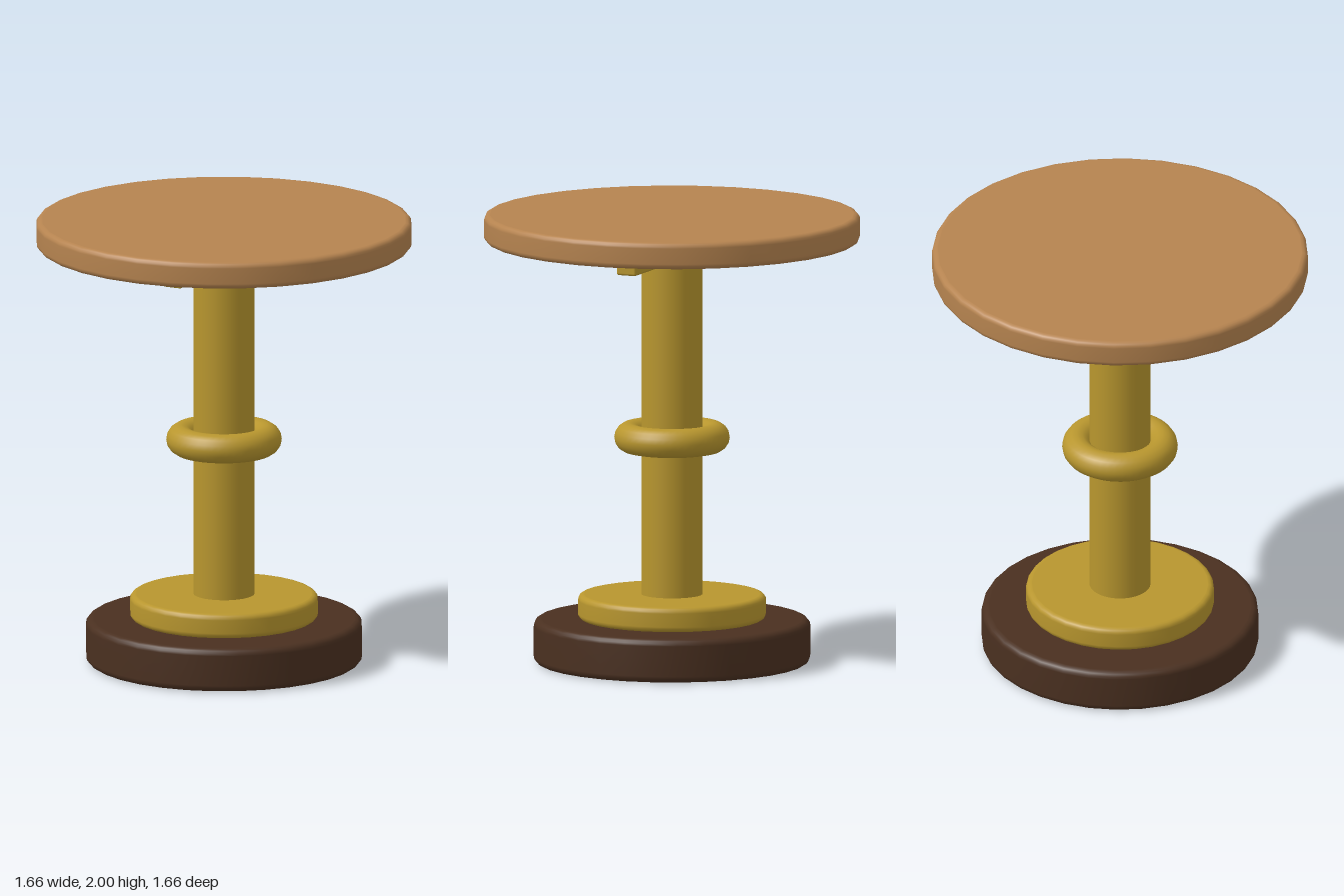
import * as THREE from 'three';
import { RoundedBoxGeometry } from 'three/addons/geometries/RoundedBoxGeometry.js';

const material = (name, color) => {
  const m = new THREE.MeshStandardMaterial({ color });
  m.name = name;
  return m;
};

// Disc with rounded rims, turned from a profile running bottom to top
function roundedDisc(radius, y0, y1, bevel) {
  const steps = 4, flat = 0.002;
  const points = [new THREE.Vector2(0, y0), new THREE.Vector2(radius - bevel - flat, y0)];
  const arc = (cy, start) => {
    for (let i = 0; i <= steps; i++) {
      const a = start + (i / steps) * Math.PI / 2;
      points.push(new THREE.Vector2(radius - bevel + bevel * Math.cos(a), cy + bevel * Math.sin(a)));
    }
  };
  arc(y0 + bevel, -Math.PI / 2);
  arc(y1 - bevel, 0);
  points.push(new THREE.Vector2(radius - bevel - flat, y1), new THREE.Vector2(0, y1));
  return new THREE.LatheGeometry(points, 32);
}

export function createModel() {
  const group = new THREE.Group();
  group.name = 'pedestalTable';
  const wood = material('light wood', 0xb5834f);
  const darkWood = material('dark wood', 0x4a3020);
  const brass = material('brass', 0xb8962e);
  const teal = material('teal', 0x0f5a60);

  const add = (name, geometry, mat, y = 0) => {
    const mesh = new THREE.Mesh(geometry, mat);
    mesh.name = name;
    mesh.position.y = y;
    group.add(mesh);
    return mesh;
  };

  // Foot and pedestal
  add('base', roundedDisc(0.61, 0, 0.195, 0.03), darkWood);
  add('baseCollar', roundedDisc(0.415, 0.195, 0.305, 0.025), brass);
  add('column', new THREE.CylinderGeometry(0.135, 0.135, 1.56, 32), brass, 1.08);
  add('columnRing', new THREE.TorusGeometry(0.19, 0.065, 16, 48).rotateX(Math.PI / 2), brass, 1.005);

  // Top with its mounting plate
  add('mountingPlate', roundedDisc(0.33, 1.838, 1.885, 0.015), teal);
  add('tableTop', roundedDisc(0.83, 1.88, 2, 0.025), wood);

  // Three support arms, the first pointing to the front
  for (let i = 0; i < 3; i++) {
    const geometry = new RoundedBoxGeometry(0.094, 0.087, 0.39, 2, 0.01).translate(0, 0, 0.305);
    add('supportArm', geometry, brass, 1.839).rotation.y = i * Math.PI * 2 / 3;
  }
  return group;
}
